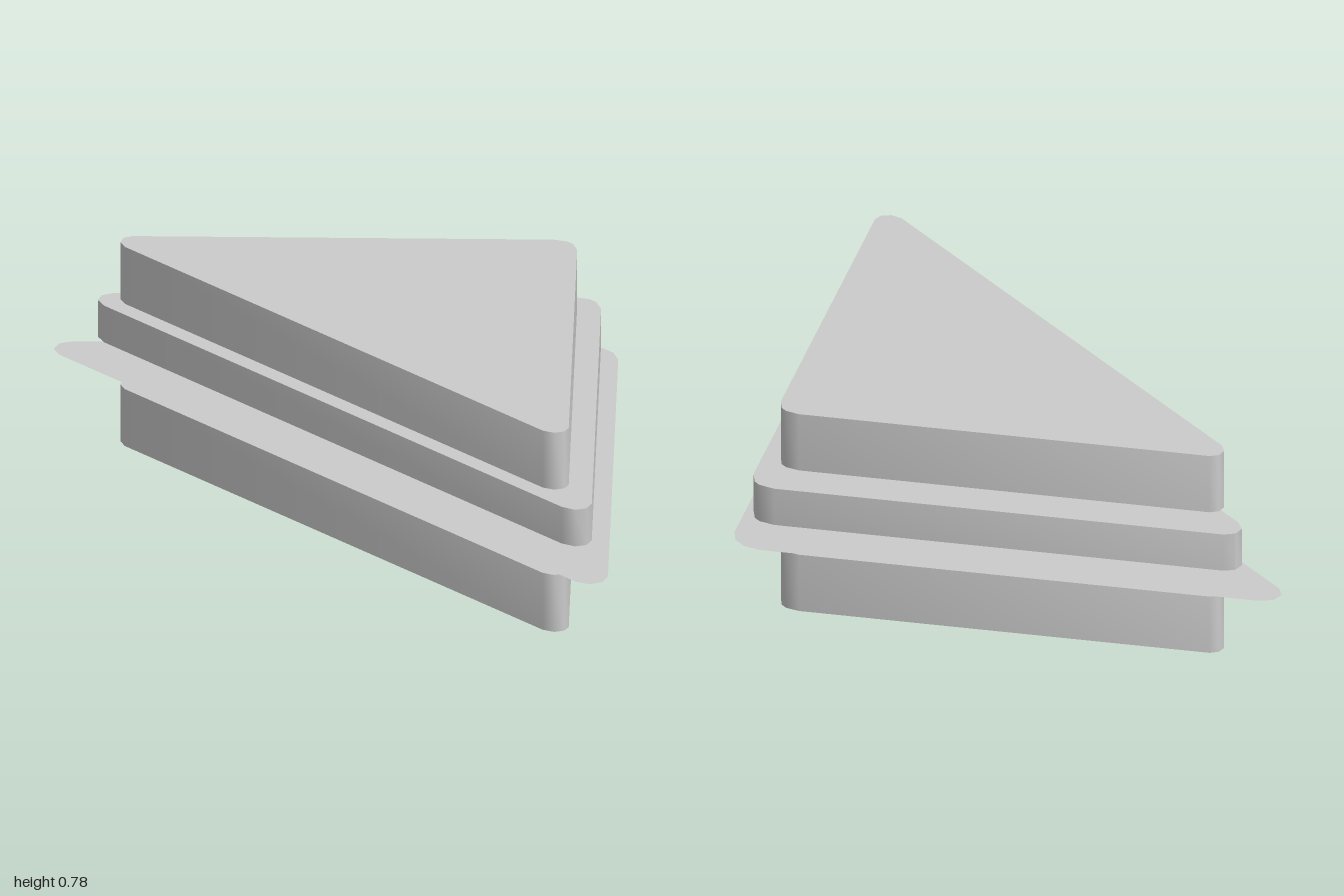
import * as THREE from 'three';
import { toCreasedNormals } from 'three/addons/utils/BufferGeometryUtils.js';

// Half of each rounded right triangle as [x, -z]: square corner, then sharp tip.
// The other half is the same points mirrored across the line x = -z.
const OUTLINES = {
  block: [[0.82, 0.84], [0.77, 0.855], [-0.72, 0.855], [-0.75, 0.84], [-0.762, 0.805], [-0.745, 0.764]],
  plate: [[0.898, 0.92], [0.84, 0.938], [-0.79, 0.938], [-0.83, 0.92], [-0.843, 0.88], [-0.819, 0.832]],
  sheet: [[0.94, 0.98], [0.88, 0.998], [-0.93, 0.998], [-0.98, 0.98], [-1, 0.935], [-0.98, 0.886]],
};

function triangleShape(half) {
  const mirrored = half.map(([x, y]) => [y, x]).reverse();
  return new THREE.Shape([...half, ...mirrored].map(([x, y]) => new THREE.Vector2(x, y)));
}

export function createModel() {
  const group = new THREE.Group();
  const material = new THREE.MeshStandardMaterial({ color: 0xcccccc });

  const add = (name, geometry, y, mat = material) => {
    geometry.rotateX(-Math.PI / 2);
    const mesh = new THREE.Mesh(geometry, mat);
    mesh.name = name;
    mesh.position.y = y;
    group.add(mesh);
  };

  // Solid triangular layers with smooth rounded corners
  const slab = (name, outline, bottom, height) => {
    const geometry = new THREE.ExtrudeGeometry(triangleShape(outline), { depth: height, bevelEnabled: false });
    add(name, toCreasedNormals(geometry, 0.8), bottom);
  };
  slab('lowerBlock', OUTLINES.block, 0, 0.222);
  slab('middlePlate', OUTLINES.plate, 0.372, 0.143);
  slab('upperBlock', OUTLINES.block, 0.555, 0.222);

  // Paper-thin sheet between the lower block and the plate
  const thin = material.clone();
  thin.side = THREE.DoubleSide;
  add('thinSheet', new THREE.ShapeGeometry(triangleShape(OUTLINES.sheet)), 0.298, thin);

  return group;
}
